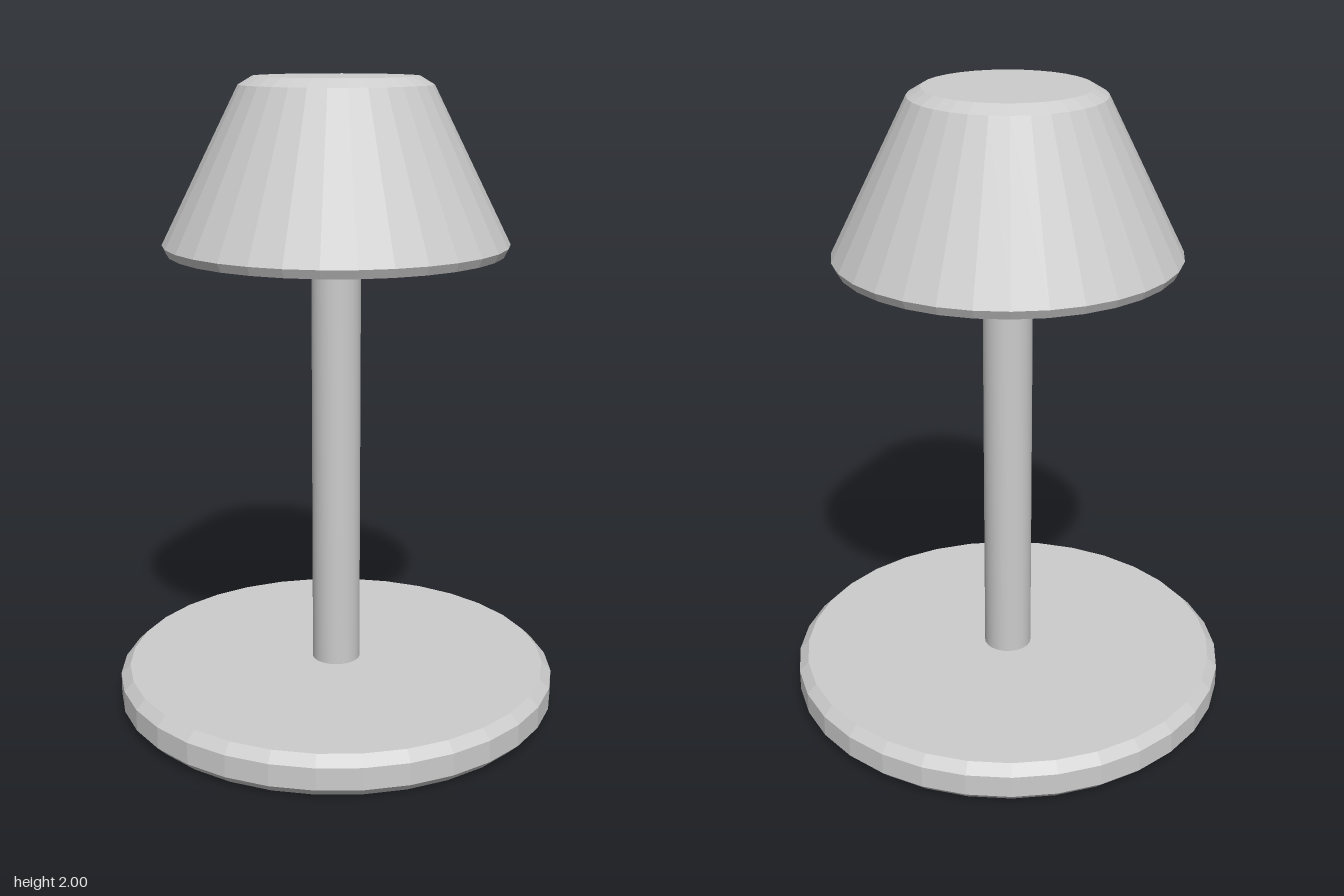
import * as THREE from 'three';
import { toCreasedNormals } from 'three/addons/utils/BufferGeometryUtils.js';

const SIDES = 32;

// Turned solid from [radius, height] points, listed bottom to top
function turned(name, profile, material, crease) {
  const points = profile.map(([r, y]) => new THREE.Vector2(r, y));
  const geometry = toCreasedNormals(new THREE.LatheGeometry(points, SIDES), crease);
  const mesh = new THREE.Mesh(geometry, material);
  mesh.name = name;
  return mesh;
}

export function createModel() {
  const model = new THREE.Group();
  model.name = 'tableLamp';

  const grey = new THREE.MeshStandardMaterial({ color: 0xcccccc });
  grey.name = 'lightGrey';

  const FACETED = 0.01;
  const SMOOTH = 0.5;

  // Flat round foot with bevelled rims
  model.add(turned('base', [
    [0, 0], [0.675, 0], [0.705, 0.03], [0.705, 0.1], [0.675, 0.13], [0, 0.13],
  ], grey, FACETED));

  // Slim stem with a chamfered tip that meets the shade
  model.add(turned('stem', [
    [0, 0.12], [0.077, 0.12], [0.077, 1.445], [0.05, 1.475], [0, 1.475],
  ], grey, SMOOTH));

  // Solid tapered shade with bevelled edges
  model.add(turned('shade', [
    [0, 1.473], [0.52, 1.473], [0.533, 1.5], [0.295, 1.975], [0.253, 2], [0, 2],
  ], grey, FACETED));

  return model;
}
